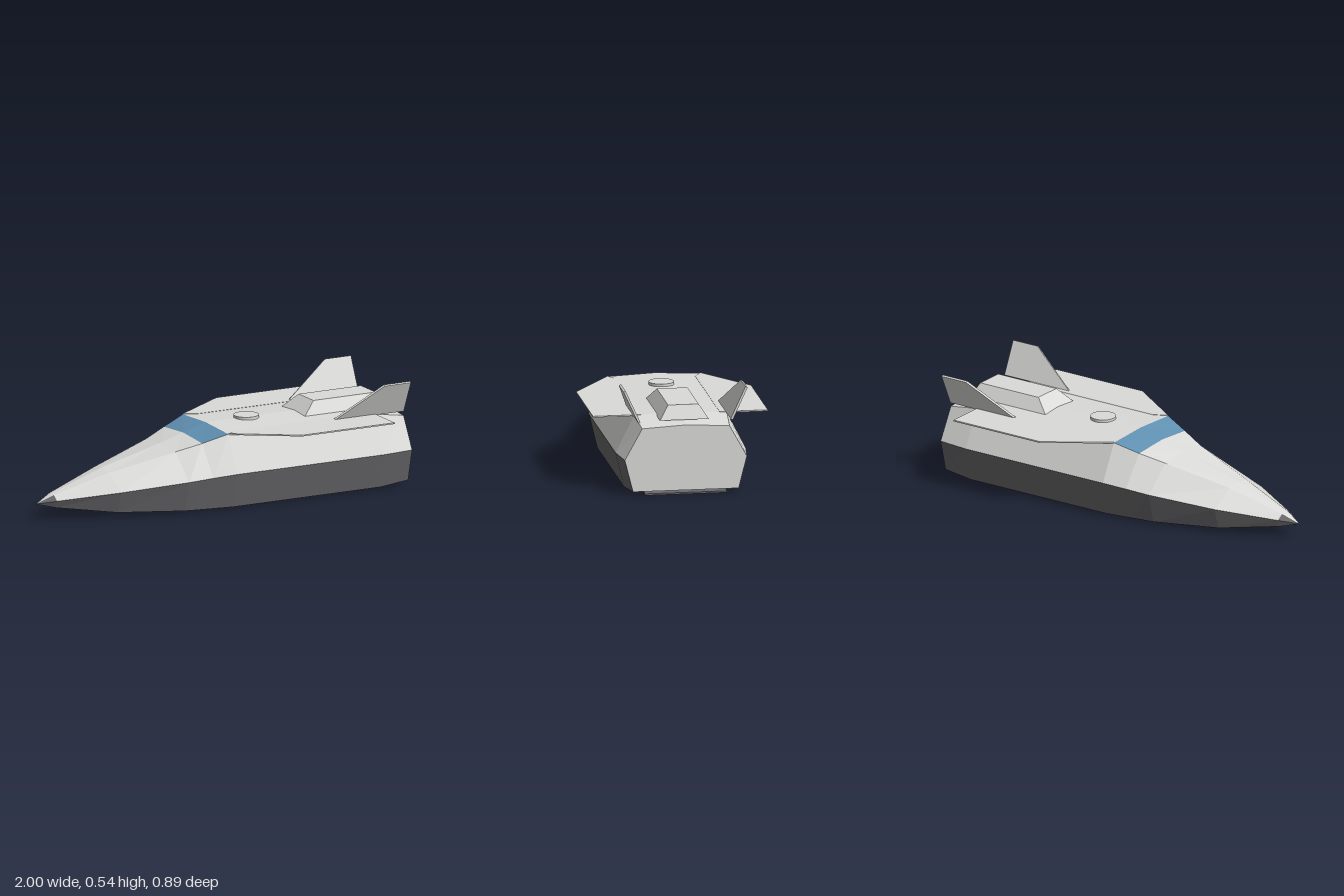
import * as THREE from 'three';

const mat = (name, color) => {
  const m = new THREE.MeshStandardMaterial({ color });
  m.name = name;
  return m;
};

export function createModel() {
  const light = mat('light grey plating', 0xdadbd8);
  const dark = mat('dark grey underside', 0x68686b);
  const glass = mat('blue glass', 0x6090b2);
  const group = new THREE.Group();
  group.name = 'shuttle';

  const add = (name, geometry, material) => {
    const mesh = new THREE.Mesh(geometry, material);
    mesh.name = name;
    group.add(mesh);
    return mesh;
  };

  // Faceted geometry from a list of polygons
  const facets = (polys) => {
    const pos = [];
    for (const p of polys) {
      for (let i = 1; i < p.length - 1; i++) {
        const tri = [p[0], p[i], p[i + 1]];
        if (new THREE.Triangle(...tri).getArea() < 1e-8) continue;
        tri.forEach((v) => pos.push(v.x, v.y, v.z));
      }
    }
    const g = new THREE.BufferGeometry();
    g.setAttribute('position', new THREE.Float32BufferAttribute(pos, 3));
    g.computeVertexNormals();
    return g;
  };

  // Hull sections: x, bottom (y, z), side crease (y, z), shoulder (y, z), ridge y
  const stations = [
    [-1, 0.08, 0, 0.08, 0, 0.08, 0, 0.08],
    [-0.91, 0.06, 0.045, 0.097, 0.06, 0.122, 0.025, 0.126],
    [-0.62, 0.027, 0.17, 0.137, 0.205, 0.213, 0.075, 0.225],
    [-0.28, 0.014, 0.26, 0.17, 0.3, 0.298, 0.155, 0.312],
    [-0.15, 0.012, 0.276, 0.18, 0.317, 0.336, 0.2, 0.35],
    [-0.02, 0.01, 0.29, 0.188, 0.333, 0.377, 0.237, 0.388],
    [0.83, 0.01, 0.29, 0.188, 0.333, 0.377, 0.237, 0.388],
    [1, 0.022, 0.27, 0.187, 0.312, 0.348, 0.223, 0.36],
  ];
  const rings = stations.map(([x, by, bz, my, mz, ty, tz, cy]) =>
    [[by, bz], [my, mz], [ty, tz], [cy, 0], [ty, -tz], [my, -mz], [by, -bz]]
      .map(([y, z]) => new THREE.Vector3(x, y, z)));

  const upper = [], lower = [], window = [], nose = [];
  for (let i = 0; i < rings.length - 1; i++) {
    for (let j = 0; j < 7; j++) {
      const k = (j + 1) % 7;
      const quad = [rings[i][j], rings[i + 1][j], rings[i + 1][k], rings[i][k]];
      const roof = j === 2 || j === 3;
      const flank = j === 1 || j === 4;
      if (roof && i === 4) window.push(quad);
      else if (flank && i === 0) nose.push(quad);
      else if (roof || flank) upper.push(quad);
      else lower.push(quad);
    }
  }
  add('upperHull', facets(upper), light);
  add('lowerHull', facets(lower), dark);
  add('noseCap', facets(nose), dark);
  add('windscreen', facets(window), glass);
  add('rearBulkhead', facets([[...rings[rings.length - 1]].reverse()]), light);

  const plate = (points, depth) => new THREE.ExtrudeGeometry(
    new THREE.Shape(points.map((p) => new THREE.Vector2(...p))),
    { depth, bevelEnabled: false });

  for (const s of [1, -1]) {
    const side = s > 0 ? 'front' : 'rear';

    // Flat wing at shoulder height
    const wing = plate([[-0.02, 0.237], [0.29, 0.447], [0.825, 0.447], [0.825, 0.2], [0.05, 0.2]]
      .map(([x, z]) => [x, z * s]), 0.007);
    wing.rotateX(Math.PI / 2);
    add(side === 'front' ? 'rightWing' : 'leftWing', wing, light).position.y = 0.38;

    // Swept tail fin leaning outward
    const fin = plate([[0.59, 0], [0.84, 0.182], [0.99, 0.182], [0.99, 0]], 0.012);
    fin.translate(0, 0, -0.006);
    fin.rotateX(s * 0.43);
    add(side === 'front' ? 'rightFin' : 'leftFin', fin, light).position.set(0, 0.377, s * 0.236);
  }

  // Sloped housing on the roof
  const box = (x0, x1, z, y) => [[x0, z], [x1, z], [x1, -z], [x0, -z]]
    .map(([x, w]) => new THREE.Vector3(x, y, w));
  const base = box(0.48, 0.955, 0.125, 0.376);
  const top = box(0.56, 0.92, 0.078, 0.447);
  const housing = [top];
  for (let i = 0; i < 4; i++) {
    const k = (i + 1) % 4;
    housing.push([base[i], base[k], top[k], top[i]]);
  }
  add('roofHousing', facets(housing), light);

  // Round roof hatch
  add('roofHatch', new THREE.CylinderGeometry(0.065, 0.065, 0.02, 32), light)
    .position.set(0.215, 0.39, 0);

  // Body flap under the stern
  const flap = add('bodyFlap', new THREE.BoxGeometry(0.09, 0.009, 0.42), dark);
  flap.position.set(0.954, 0.01, 0);
  flap.rotation.z = -0.11;

  return group;
}
